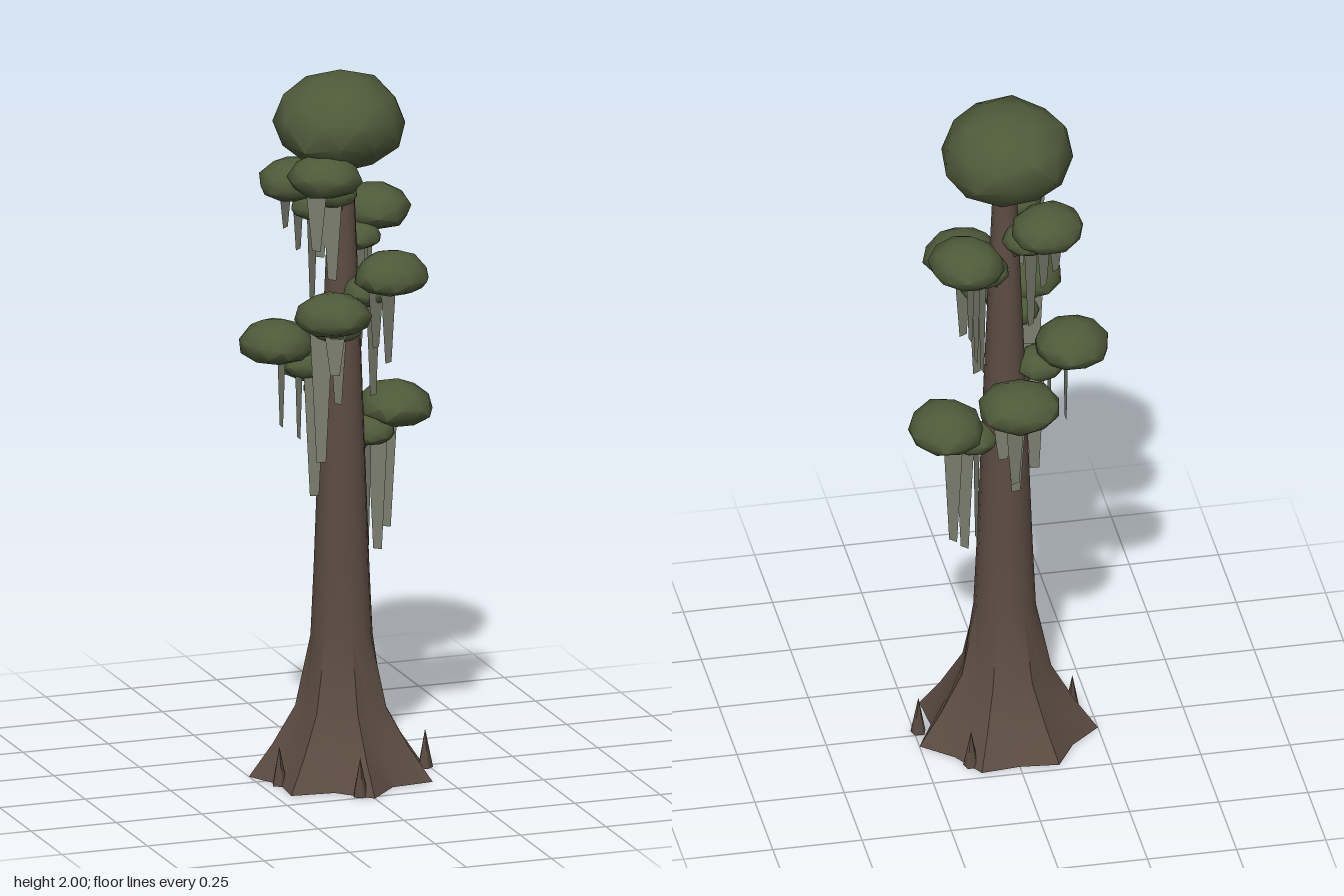
import * as THREE from 'three';
import { toCreasedNormals } from 'three/addons/utils/BufferGeometryUtils.js';

const mat = (name, color, side = THREE.FrontSide) => {
  const m = new THREE.MeshStandardMaterial({ color, side });
  m.name = name;
  return m;
};

// Boughs from low to high: [direction in degrees, reach, height]
const BOUGHS = [[-16, 0.185, 1.03], [-93, 0.172, 1.145], [189, 0.185, 1.245], [117, 0.185, 1.365],
  [58, 0.172, 1.46], [-39, 0.162, 1.585], [229, 0.152, 1.68], [130, 0.135, 1.745]];

// Moss strands, three to a bough in the same order: [x, z, tip height, facing in degrees]
const MOSS = [
  [0.12, -0.04, 0.62, 45], [0.16, -0.078, 0.67, 45], [0.085, -0.03, 0.64, 85],
  [0.0, -0.15, 0.88, -20], [-0.01, -0.11, 0.83, -10], [0.03, -0.13, 0.95, 0],
  [-0.165, -0.03, 1.0, 90], [-0.125, 0, 0.97, 90], [-0.09, 0.03, 0.81, 5],
  [-0.09, 0.085, 0.92, 20], [-0.07, 0.14, 1.18, 20], [-0.05, 0.11, 1.09, 60],
  [0.06, 0.09, 1.1, -30], [0.09, 0.13, 1.2, -30], [0.05, 0.14, 1.25, -30],
  [0.1, -0.1, 1.26, 80], [0.075, -0.06, 1.2, 80], [0.12, -0.12, 1.34, 80],
  [-0.09, -0.1, 1.48, -40], [-0.06, -0.07, 1.34, -40], [-0.12, -0.12, 1.54, -40],
  [-0.085, 0.06, 1.5, 45], [-0.06, 0.09, 1.44, 45], [-0.11, 0.1, 1.53, 45],
];

// Low-poly leaf mass, roughened by a rule and given its width, height and depth
function leafMass(width, height, depth, seed, bottom) {
  const geo = new THREE.IcosahedronGeometry(1, 1);
  geo.rotateY(seed * 1.7);
  geo.rotateX(seed * 0.9);
  const p = geo.attributes.position;
  const v = new THREE.Vector3();
  for (let i = 0; i < p.count; i++) {
    v.fromBufferAttribute(p, i);
    const bump = 1 + 0.045 * Math.sin(v.x * 5.1 + seed * 2.3) * Math.cos(v.z * 4.3 + v.y * 3.7 + seed);
    v.multiplyScalar(bump);
    if (v.y < 0) v.y *= bottom;
    p.setXYZ(i, v.x, v.y, v.z);
  }
  geo.center();
  geo.boundingBox.getSize(v);
  geo.scale(width / v.x, height / v.y, depth / v.z);
  return toCreasedNormals(geo, 0.9);
}

// Fluted trunk: a lathe whose alternate edges push out into seven buttresses, longest in front
function trunkGeometry() {
  const profile = [[0, 0], [0.232, 0], [0.178, 0.09], [0.122, 0.2], [0.086, 0.4],
    [0.077, 0.6], [0.055, 1.2], [0.03, 1.82]];
  const geo = new THREE.LatheGeometry(profile.map(([r, y]) => new THREE.Vector2(r, y)), 14);
  const p = geo.attributes.position;
  for (let i = 0; i < p.count; i++) {
    const x = p.getX(i), y = p.getY(i), z = p.getZ(i);
    const angle = Math.atan2(x, z);
    const depth = 0.115 * (1 + 0.35 * Math.cos(angle)) * Math.max(0, 1 - y / 0.4);
    const flute = 1 + depth * Math.cos(7 * angle);
    p.setXYZ(i, x * flute, y, z * flute);
  }
  return toCreasedNormals(geo, 0.6);
}

// Tapered flat strand hanging from y = 0
function strandGeometry(length) {
  const shape = new THREE.Shape();
  shape.moveTo(-0.033, 0);
  shape.lineTo(-0.013, -length);
  shape.lineTo(0.013, -length);
  shape.lineTo(0.033, 0);
  return new THREE.ShapeGeometry(shape);
}

export function createModel() {
  const tree = new THREE.Group();
  tree.name = 'swampTree';
  const bark = mat('bark', 0x5c4c42);
  const leaf = mat('foliage', 0x4f5a3a);
  const mossMat = mat('hangingMoss', 0x7c7f6f, THREE.DoubleSide);
  const add = (parent, name, geo, material, x = 0, y = 0, z = 0) => {
    const mesh = new THREE.Mesh(geo, material);
    mesh.name = name;
    mesh.position.set(x, y, z);
    parent.add(mesh);
    return mesh;
  };

  add(tree, 'trunk', trunkGeometry(), bark);
  add(tree, 'crown', leafMass(0.36, 0.27, 0.37, 5, 0.95), leaf, -0.005, 1.865, 0.005);

  // Root knees around the base
  for (const [x, z] of [[0.238, 0.018], [-0.03, 0.232], [-0.2, 0.05], [0.13, -0.18]]) {
    add(tree, 'rootKnee', new THREE.ConeGeometry(0.022, 0.11, 5), bark, x, 0.055, z);
  }

  // Each bough is built along +x, then turned to its direction
  BOUGHS.forEach(([angle, reach, y], i) => {
    const bough = new THREE.Group();
    bough.name = 'bough';
    bough.position.y = y;
    bough.rotation.y = -THREE.MathUtils.degToRad(angle);
    tree.add(bough);

    // Limb rising from the trunk to the pad
    const rise = 0.16;
    const limbGeo = new THREE.CylinderGeometry(0.008, 0.018, Math.hypot(reach, rise), 6);
    const limb = add(bough, 'limb', limbGeo, bark, reach / 2, -rise / 2);
    limb.rotation.z = -Math.atan2(reach, rise);

    // Outer leaf pad and a smaller one nearer the trunk
    const width = 0.207 - 0.003 * i;
    add(bough, 'leafPad', leafMass(width, 0.122, width + 0.018, i + 1, 0.7), leaf, reach);
    add(bough, 'innerLeafPad', leafMass(0.135, 0.085, 0.135, i + 4, 0.7), leaf, reach * 0.52, -0.062);
  });

  // Moss hanging from just under the pads
  MOSS.forEach(([x, z, tip, facing], i) => {
    const top = BOUGHS[Math.floor(i / 3)][2] - 0.03;
    const strand = add(tree, 'mossStrand', strandGeometry(top - tip), mossMat, x, top, z);
    strand.rotation.y = -THREE.MathUtils.degToRad(facing);
  });
  return tree;
}
